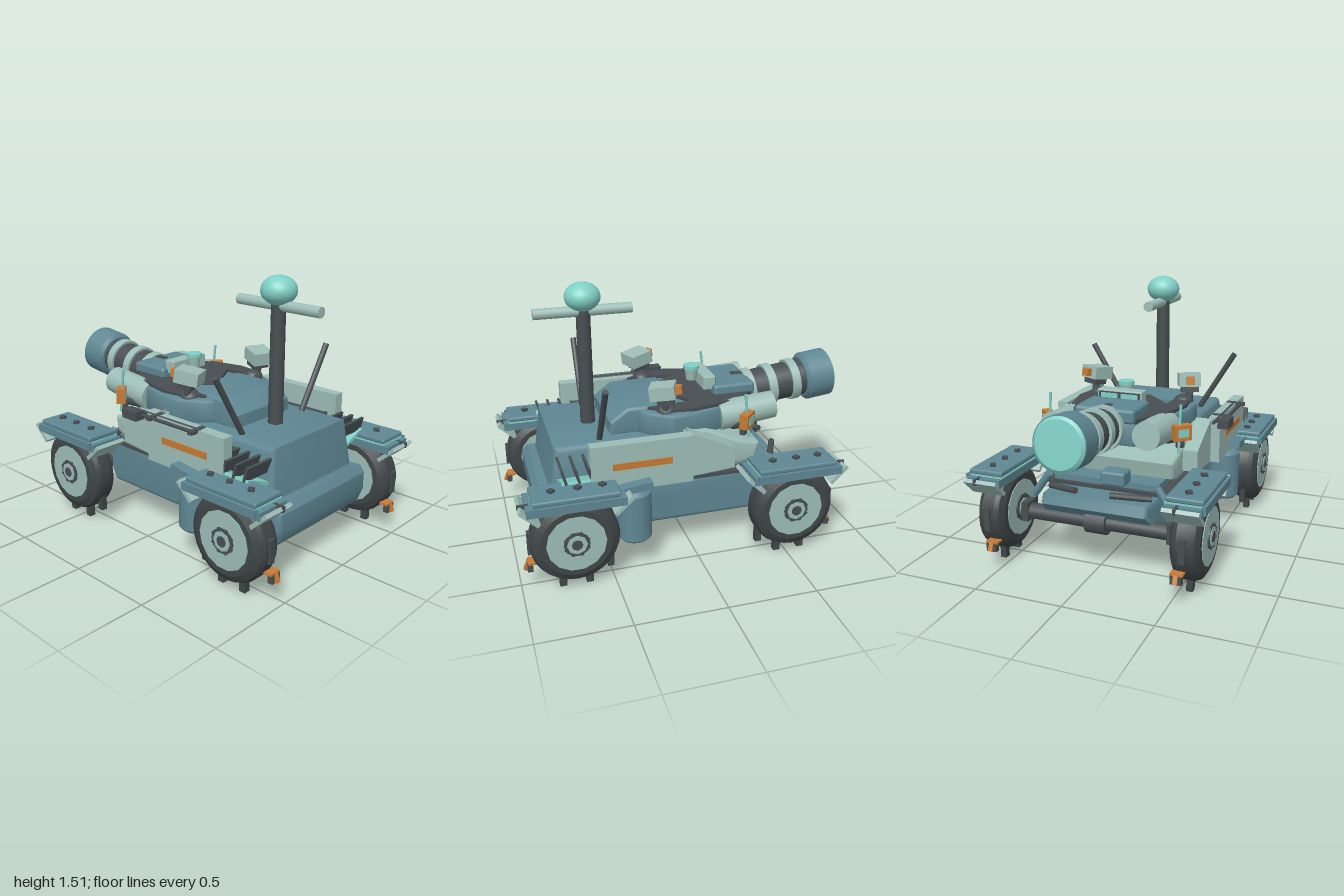
import * as THREE from 'three';
import { toCreasedNormals } from 'three/addons/utils/BufferGeometryUtils.js';
import { RoundedBoxGeometry } from 'three/addons/geometries/RoundedBoxGeometry.js';

const mat = (name, color) => Object.assign(new THREE.MeshStandardMaterial({ color }), { name });

export function createModel() {
  const blue = mat('blue grey', 0x5f8793), pale = mat('pale green', 0x9dbdb6), teal = mat('teal', 0x80d0c5);
  const dark = mat('dark grey', 0x474e51), tyreGrey = mat('tyre grey', 0x3f4547), orange = mat('orange', 0xc67a35);
  const model = new THREE.Group();
  model.name = 'armouredBuggy';

  const add = (parent, name, geo, material, pos = [0, 0, 0], rot = [0, 0, 0]) => {
    const m = new THREE.Mesh(geo, material);
    m.name = name;
    m.position.set(...pos);
    m.rotation.set(...rot);
    parent.add(m);
    return m;
  };
  const group = (parent, name, pos = [0, 0, 0], rot = [0, 0, 0]) => {
    const g = new THREE.Group();
    g.name = name;
    g.position.set(...pos);
    g.rotation.set(...rot);
    parent.add(g);
    return g;
  };
  const box = (w, h, d) => new THREE.BoxGeometry(w, h, d);
  const soft = (w, h, d, r) => new RoundedBoxGeometry(w, h, d, 2, r);
  const cyl = (r1, r2, h, n = 24) => new THREE.CylinderGeometry(r1, r2, h, n);
  const shape = pts => new THREE.Shape(pts.map(p => new THREE.Vector2(...p)));
  // rod between two points
  const rod = (parent, name, a, b, r, material, n = 10) => {
    const p = new THREE.Vector3(...a), q = new THREE.Vector3(...b);
    const m = add(parent, name, cyl(r, r, p.distanceTo(q), n), material, p.clone().add(q).multiplyScalar(0.5).toArray());
    m.quaternion.setFromUnitVectors(new THREE.Vector3(0, 1, 0), q.sub(p).normalize());
    return m;
  };
  // side profile [z, y] extruded across x; narrow(x, y, z) returns a factor for x
  const across = (pts, halfWidth, bevel, narrow = () => 1) => {
    const g = new THREE.ExtrudeGeometry(shape(pts), {
      depth: 2 * (halfWidth - bevel), bevelEnabled: bevel > 0, bevelSize: bevel, bevelThickness: bevel, bevelOffset: -bevel, bevelSegments: 3 });
    g.translate(0, 0, -(halfWidth - bevel)).rotateY(-Math.PI / 2);
    const p = g.attributes.position;
    for (let i = 0; i < p.count; i++) p.setX(i, p.getX(i) * narrow(p.getX(i), p.getY(i), p.getZ(i)));
    return toCreasedNormals(g, 0.6);
  };
  // plan outline [x, z] extruded upwards from y0 to y1
  const upright = (pts, y0, y1, bevel = 0) => {
    const g = new THREE.ExtrudeGeometry(shape(pts.map(([x, z]) => [x, -z])), {
      depth: y1 - y0 - 2 * bevel, bevelEnabled: bevel > 0, bevelSize: bevel, bevelThickness: bevel, bevelOffset: -bevel, bevelSegments: 2 });
    return toCreasedNormals(g.rotateX(-Math.PI / 2).translate(0, y0 + bevel, 0), 0.6);
  };
  const mirrored = half => [...half, ...half.slice().reverse().filter(p => p[0] !== 0).map(([x, z]) => [-x, z])];

  // hull
  add(model, 'lowerHull', across([[0.81, 0.185], [0.85, 0.22], [0.87, 0.29], [0.87, 0.39], [0.84, 0.43], [-0.59, 0.43], [-0.61, 0.37], [-0.43, 0.185]],
    0.39, 0.03, (x, y, z) => (z < -0.55 ? 0.8 : 1) * (y < 0.23 ? 0.95 : 1)), blue);
  add(model, 'upperHull', across([[0.79, 0.43], [0.76, 0.70], [-0.02, 0.70], [-0.02, 0.43]],
    0.36, 0.03, (x, y) => 1 - Math.max(0, y - 0.43) * 0.4), blue);
  add(model, 'hullTrim', box(0.76, 0.02, 0.9), dark, [0, 0.445, 0]);
  add(model, 'rearHull', across([[0.05, 0.49], [0.05, 0.74], [-0.08, 0.73], [-0.28, 0.64], [-0.40, 0.61], [-0.38, 0.52], [-0.3, 0.49]], 0.38, 0.02), pale);
  add(model, 'hullCollar', box(0.62, 0.07, 0.5), blue, [0, 0.455, -0.18]);
  add(model, 'rearBox', soft(0.14, 0.08, 0.11, 0.015), blue, [-0.08, 0.53, -0.47]);
  add(model, 'rearTag', box(0.08, 0.01, 0.05), orange, [-0.12, 0.435, -0.5]);

  // turret
  add(model, 'turretBase', upright(mirrored([[0.17, -0.43], [0.3, -0.24], [0.36, -0.05], [0.36, 0.1], [0.28, 0.24], [0.22, 0.28]]), 0.69, 0.83, 0.02), blue);
  add(model, 'turretPlate', upright([[-0.18, -0.42], [0.18, -0.42], [0.29, -0.23], [0.335, -0.03], [0.32, 0.08], [0.24, 0.22], [0.22, -0.04],
    [0.05, 0.06], [-0.06, 0.12], [-0.22, -0.04], [-0.24, 0.22], [-0.32, 0.08], [-0.335, -0.03], [-0.29, -0.23]], 0.82, 0.848), dark);
  add(model, 'turretFront', across([[0.43, 0.69], [0.43, 0.77], [0.33, 0.845], [0.05, 0.845], [0.05, 0.69]], 0.23, 0.02), blue);
  add(model, 'turretRearBox', soft(0.35, 0.08, 0.25, 0.02), blue, [0, 0.86, -0.32]);
  add(model, 'rearBoxNotch', box(0.04, 0.02, 0.07), dark, [0, 0.895, -0.39]);
  add(model, 'sight', soft(0.27, 0.08, 0.075, 0.008), pale, [0, 0.905, -0.18]);
  for (const s of [-1, 1]) add(model, 'sightLens', box(0.1, 0.045, 0.006), teal, [s * 0.06, 0.905, -0.219]);
  add(model, 'sightFrame', box(0.25, 0.06, 0.004), dark, [0, 0.905, -0.218]);
  add(model, 'sightCup', cyl(0.042, 0.03, 0.085, 16), pale, [0, 0.935, -0.11]);
  add(model, 'sightCupRim', cyl(0.047, 0.047, 0.02, 16), teal, [0, 0.97, -0.11]);

  // gun, tilted upwards towards the rear
  const gun = group(model, 'gun', [0, 0.738, 0], [0.117, 0, 0]);
  const gunPart = (name, r1, r2, from, to, m) => add(gun, name, cyl(r1, r2, to - from, 28), m, [0, 0, -(from + to) / 2], [-Math.PI / 2, 0, 0]);
  gunPart('barrel', 0.11, 0.11, 0.3, 0.9, dark);
  for (const z of [0.44, 0.575, 0.725]) gunPart('barrelRing', 0.125, 0.125, z, z + 0.05, pale);
  gunPart('muzzle', 0.145, 0.145, 0.835, 0.98, blue);
  gunPart('muzzleShoulder', 0.145, 0.125, 0.815, 0.835, blue);
  gunPart('muzzleCap', 0.125, 0.14, 0.98, 0.993, teal);

  // mast
  add(model, 'mast', cyl(0.04, 0.042, 0.68, 20), dark, [0, 1.03, 0.515]);
  add(model, 'mastBall', new THREE.SphereGeometry(0.1, 24, 16), teal, [0, 1.435, 0.515]).scale.y = 0.8;
  add(model, 'mastTube', cyl(0.03, 0.03, 0.55, 16), pale, [0, 1.355, 0.515], [Math.PI / 2, 0, 0]);

  // wheel with hub, ground spikes and clamp
  const tyreProfile = [[0.1, -0.08], [0.19, -0.08], [0.228, -0.06], [0.24, -0.035], [0.24, 0.035], [0.228, 0.06], [0.19, 0.08], [0.1, 0.08]];
  const tyreGeo = toCreasedNormals(new THREE.LatheGeometry(tyreProfile.map(p => new THREE.Vector2(...p)), 28), 0.4);
  const wheel = (s, z, end) => {
    const w = group(model, 'wheel', [s * 0.555, 0.295, z]), turn = [0, 0, -s * Math.PI / 2];
    add(w, 'tyre', tyreGeo, tyreGrey, [0, 0, 0], turn);
    add(w, 'hubDisc', cyl(0.16, 0.16, 0.168, 14), pale, [0, 0, 0], turn);
    add(w, 'hub', cyl(0.07, 0.078, 0.185, 10), dark, [0, 0, 0], turn);
    add(w, 'hubRing', cyl(0.055, 0.055, 0.192, 8), pale, [0, 0, 0], turn);
    add(w, 'hubCap', cyl(0.03, 0.03, 0.2, 8), dark, [0, 0, 0], turn);
    for (let i = 0; i < 8; i++) {
      const a = (i + 0.5) * Math.PI / 4;
      add(w, 'hubBolt', box(0.19, 0.012, 0.012), dark, [0, 0.066 * Math.sin(a), 0.066 * Math.cos(a)], [-a, 0, 0]);
    }
    for (const dz of [-0.073, 0.072]) add(w, 'spike', box(0.035, 0.1, 0.038), tyreGrey, [0, -0.24, dz]);
    add(w, 'spike', box(0.035, 0.09, 0.035), tyreGrey, [0, -0.165, -end * 0.19]);
    add(w, 'treadStrip', box(0.035, 0.13, 0.02), dark, [0, 0, end * 0.238]);
    add(w, 'clamp', box(0.06, 0.045, 0.03), dark, [-s * 0.025, -0.155, end * 0.24]);
    add(w, 'clampBand', box(0.07, 0.012, 0.05), orange, [-s * 0.025, -0.128, end * 0.225]);
    add(w, 'clampArm', box(0.025, 0.05, 0.02), orange, [-s * 0.025, -0.15, end * 0.255], [-end * 0.4, 0, 0]);
  };

  // fender with upturned end flaps
  const fender = (s, z, end) => {
    const f = group(model, 'fender', [s * 0.56, 0, z]);
    add(f, 'fenderSlab', box(0.2, 0.045, 0.52), blue, [0, 0.515, 0]);
    add(f, 'fenderStripe', box(0.205, 0.008, 0.46), teal, [0, 0.542, 0]);
    add(f, 'fenderTop', soft(0.2, 0.03, 0.46, 0.01), blue, [0, 0.56, 0]);
    add(f, 'fenderRail', box(0.02, 0.045, 0.48), blue, [s * 0.105, 0.525, 0]);
    for (const e of [-1, 1]) add(f, 'fenderFlap', box(0.195, 0.022, 0.13), pale, [0, 0.485, e * 0.245], [-e * 0.75, 0, 0]);
    for (const dz of [-0.15, -0.02, 0.12]) add(f, 'fenderBolt', box(0.032, 0.018, 0.032), dark, [0, 0.58, dz], [0, 0.6, 0]);
    add(f, 'fenderLatch', box(0.015, 0.03, 0.06), dark, [0.03, 0.525, end * 0.27]);
    rod(model, 'fenderStrut', [s * 0.32, 0.5, z - end * 0.05], [s * 0.42, 0.36, z - end * 0.05], 0.022, blue);
  };

  for (const s of [-1, 1]) {
    for (const [wz, fz, end] of [[0.71, 0.7, 1], [-0.525, -0.525, -1]]) {
      wheel(s, wz, end);
      fender(s, fz, end);
      // axle
      rod(model, 'axle', [0, 0.28, wz], [s * 0.5, 0.28, wz], 0.045, dark, 12);
      add(model, 'axleFlange', box(0.04, 0.11, 0.1), dark, [s * 0.43, 0.285, wz]);
    }
    rod(model, 'axleBrace', [s * 0.1, 0.47, -0.6], [s * 0.3, 0.44, -0.5], 0.018, dark);

    // side armour panel and cheeks
    add(model, 'sidePanel', box(0.065, 0.27, 0.56), pale, [s * 0.485, 0.635, 0.32]);
    add(model, 'panelStripe', box(0.008, 0.037, 0.325), orange, [s * 0.52, 0.645, 0.32]);
    add(model, 'panelBracket', box(0.14, 0.1, 0.46), dark, [s * 0.4, 0.6, 0.3]);
    add(model, 'cheek', across([[0.04, 0.5], [0.04, 0.76], [-0.07, 0.71], [-0.22, 0.64], [-0.22, 0.52]], 0.045, 0), pale, [s * 0.42, 0, 0]);

    // louvre shelf
    add(model, 'louvreShelf', box(0.18, 0.02, 0.17), teal, [s * 0.425, 0.55, 0.67], [0, 0, s * 0.35]);
    for (let i = 0; i < 4; i++) add(model, 'louvre', box(0.19, 0.08, 0.015), dark, [s * 0.42, 0.615, 0.53 + i * 0.07], [0.25, 0, 0]);

    // side tank with struts
    add(model, 'sideTank', cyl(0.095, 0.095, 0.27), blue, [s * 0.465, 0.33, 0.36]);
    add(model, 'tankLid', cyl(0.07, 0.095, 0.02), blue, [s * 0.465, 0.475, 0.36]);
    add(model, 'tankFoot', cyl(0.095, 0.08, 0.015), blue, [s * 0.465, 0.188, 0.36]);
    rod(model, 'tankStrut', [s * 0.36, 0.5, 0.34], [s * 0.48, 0.34, 0.45], 0.025, orange, 6);
    add(model, 'tankShelf', box(0.26, 0.04, 0.2), blue, [s * 0.45, 0.53, 0.38], [0.12, 0, 0]);

    // shoulder cylinder beside the gun
    add(model, 'shoulderTube', cyl(0.078, 0.085, 0.33), pale, [s * 0.27, 0.775, -0.35], [-Math.PI / 2 + 0.1, 0, 0]);

    // leaning whip
    rod(model, 'whip', [s * 0.26, 0.70, 0.5], [s * 0.475, 1.055, 0.5], 0.017, dark);

    // roof lamp
    add(model, 'lampDome', new THREE.SphereGeometry(0.06, 16, 8, 0, Math.PI * 2, 0, Math.PI / 2), dark, [s * 0.27, 0.825, 0.12]).scale.y = 0.75;
    const lamp = group(model, 'roofLamp', [s * 0.295, 0.955, 0.145], [0.15, -s * 0.4, s * 0.08]);
    add(lamp, 'lampBody', box(0.125, 0.075, 0.14), pale);
    add(lamp, 'lampMount', box(0.1, 0.035, 0.09), dark, [0, -0.053, -0.01]);
    add(lamp, 'lampPost', cyl(0.02, 0.02, 0.07, 8), dark, [0, -0.09, 0]);
    add(lamp, 'lampKnob', box(0.045, 0.045, 0.04), orange, [0, 0, -0.085]);

    // side lantern and thin aerial
    const lantern = group(model, 'lantern', [s * 0.4, 0.77, -0.31], [0, s * 0.8, 0]);
    add(lantern, 'lanternBody', box(0.05, 0.085, 0.1), orange);
    add(lantern, 'lanternGlass', box(0.056, 0.045, 0.06), teal);
    add(lantern, 'lanternFoot', box(0.03, 0.06, 0.04), dark, [-s * 0.02, -0.06, 0]);
    rod(model, 'aerial', [s * 0.39, 0.66, -0.33], [s * 0.39, 0.92, -0.30], 0.008, teal, 6);
    rod(model, 'lanternArm', [s * 0.3, 0.7, -0.26], [s * 0.4, 0.74, -0.31], 0.02, dark);
  }
  add(model, 'differential', cyl(0.07, 0.07, 0.12, 16), dark, [0, 0.28, -0.525], [0, 0, Math.PI / 2]);

  // tool rack on one side
  for (const x of [-0.505, -0.545]) rod(model, 'toolRod', [x, 0.765, -0.06], [x, 0.765, 0.43], 0.01, dark, 8);
  add(model, 'toolHead', box(0.065, 0.05, 0.11), dark, [-0.565, 0.765, -0.02]);
  for (const z of [0.1, 0.41]) add(model, 'toolClip', box(0.11, 0.02, 0.03), dark, [-0.515, 0.765, z]);

  return model;
}
